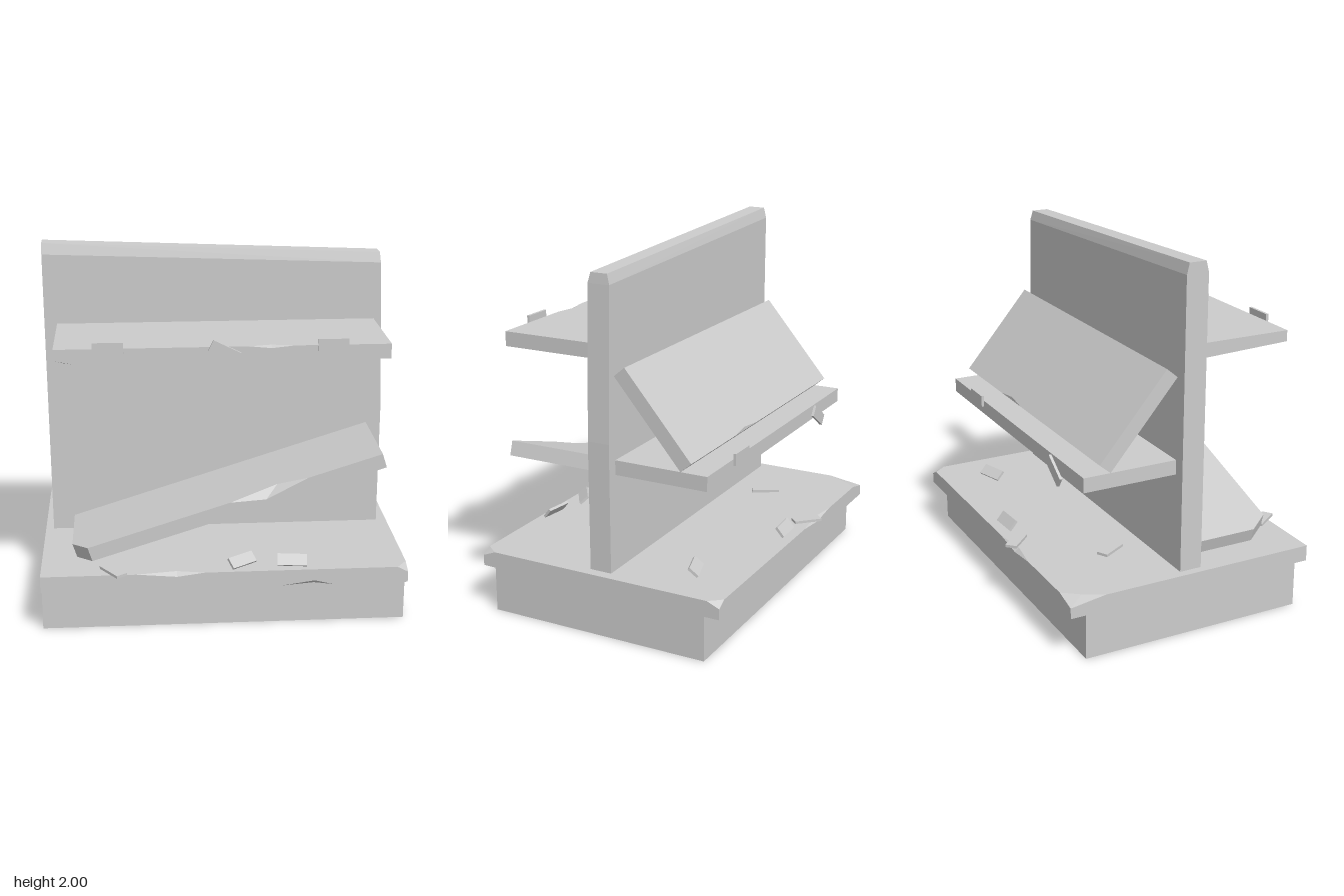
import * as THREE from 'three';
import { ConvexGeometry } from 'three/addons/geometries/ConvexGeometry.js';

const grey = new THREE.MeshStandardMaterial({ color: 0xcccccc, flatShading: true });

function add(parent, name, geometry, x = 0, y = 0, z = 0, rx = 0, ry = 0, rz = 0) {
  const mesh = new THREE.Mesh(geometry, grey);
  mesh.name = name;
  mesh.position.set(x, y, z);
  mesh.rotation.set(rx, ry, rz, 'YXZ');
  parent.add(mesh);
  return mesh;
}

// Board lofted from an outline, counter-clockwise from above, starting front left.
// A point is [x, z, inX, inZ, d]: the edge is broken there, moved by (inX, inZ)
// on the top face (d > 0) or the bottom face (d < 0), |d| deep on the side.
function brokenBoard(outline, height) {
  const h = height / 2;
  const rings = [[], [], [], []];
  for (const [x, z, inX = 0, inZ = 0, d = 0] of outline) {
    const low = d < 0, high = d > 0;
    rings[0].push([x + (low ? inX : 0), -h, z + (low ? inZ : 0)]);
    rings[1].push([x, -h + Math.max(-d, 0), z]);
    rings[2].push([x, h - Math.max(d, 0), z]);
    rings[3].push([x + (high ? inX : 0), h, z + (high ? inZ : 0)]);
  }
  const out = [];
  const n = outline.length;
  for (let r = 0; r < 3; r++) {
    for (let i = 0; i < n; i++) {
      const j = (i + 1) % n, a = rings[r], b = rings[r + 1];
      // The diagonal follows the broken point so each break stays crisp
      if (outline[i][4]) out.push(a[i], a[j], b[i], a[j], b[j], b[i]);
      else out.push(a[i], a[j], b[j], a[i], b[j], b[i]);
    }
  }
  const cap = (ring, flip) => {
    const flat = ring.map(([x, , z]) => new THREE.Vector2(x, -z));
    for (const [a, b, c] of THREE.ShapeUtils.triangulateShape(flat, [])) {
      out.push(ring[a], ring[flip ? c : b], ring[flip ? b : c]);
    }
  };
  cap(rings[0], true);
  cap(rings[3], false);
  const g = new THREE.BufferGeometry();
  g.setAttribute('position', new THREE.Float32BufferAttribute(out.flat(), 3));
  g.computeVertexNormals();
  return g;
}

// Shelf board with optional front-left corner points and front-edge break
function shelf(depth, corner, edge = []) {
  const w = 0.875, d = depth / 2;
  return brokenBoard([...(corner ?? [[-w, d]]), ...edge, [w, d], [w, -d], [-w, -d]], 0.08);
}

export function createModel() {
  const model = new THREE.Group();
  model.name = 'brokenShelfUnit';

  // Plinth and its chipped overhanging deck
  add(model, 'plinth', new THREE.BoxGeometry(1.975, 0.25, 1.275), 0, 0.125, -0.008);
  add(model, 'deck', brokenBoard([
    [-0.988, 0.705],
    [-0.48, 0.705], [-0.26, 0.705, 0, -0.03, 0.02], [-0.11, 0.705],
    [0.3, 0.705], [0.48, 0.705, 0, -0.03, -0.025], [0.58, 0.705],
    [0.93, 0.705], [0.988, 0.705, -0.028, -0.038, 0.03], [0.988, 0.63],
    [0.988, -0.66], [0.988, -0.73, -0.028, 0.035, 0.03], [0.93, -0.73],
    [-0.1, -0.73], [-0.29, -0.73, 0, 0.025, 0.02], [-0.47, -0.73],
    [-0.86, -0.73], [-0.988, -0.73, 0.06, 0.09, 0.03], [-0.988, -0.53],
  ], 0.09), 0, 0.295, 0);

  // Upright back panel with a sloping, bevelled top
  const pts = [];
  for (const [x, y, inset] of [
    [-0.943, 0.34, 0], [0.93, 0.34, 0], [0.93, 1.05, 0], [0.9, 1.87, 0],
    [-0.95, 1.94, 0], [-0.95, 2, 0.015], [0.895, 1.925, 0.015],
  ]) {
    pts.push(new THREE.Vector3(x, y, 0.055 - inset), new THREE.Vector3(x, y, -0.07 + inset));
  }
  add(model, 'backPanel', new ConvexGeometry(pts));

  // Front shelves: one level, one fallen at its right-hand end
  add(model, 'upperFrontShelf', shelf(0.53,
    [[-0.875, 0.265, 0.05, -0.03, -0.02], [-0.77, 0.265]],
    [[0.13, 0.265], [0.25, 0.265, 0, -0.025, 0.012], [0.37, 0.265]]), -0.005, 1.515, 0.32);
  add(model, 'fallenFrontShelf', shelf(0.53,
    [[-0.875, 0.145], [-0.785, 0.265]],
    [[0.02, 0.265], [0.21, 0.265, 0.08, -0.05, 0.045], [0.46, 0.265]]),
  0.025, 0.645, 0.32, 0, 0, 0.305);

  // Rear shelf, with a loose one leaning from it to the panel
  add(model, 'rearShelf', shelf(0.53), -0.005, 0.91, -0.335);
  add(model, 'leaningShelf', shelf(0.587, null,
    [[-0.37, 0.2935], [-0.24, 0.2935, 0, -0.015, 0.012], [-0.1, 0.2935]]),
  -0.005, 1.2, -0.29, 0.869, Math.PI, 0);

  // Price tags on the shelf edges: x, y, z, roll
  const tag = new THREE.BoxGeometry(0.16, 0.065, 0.015);
  for (const [x, y, z, roll] of [
    [-0.6, 1.558, 0.593, 0], [0.565, 1.558, 0.593, 0], [0, 1.53, 0.593, -0.46],
    [0.495, 0.948, -0.608, 0], [-0.55, 0.873, -0.608, 0.6],
  ]) add(model, 'shelfTag', tag, x, y, z, 0, 0, roll);

  // Tags dropped on the deck: x, y, z, pitch, yaw
  for (const [x, y, z, pitch, yaw] of [
    [-0.6, 0.35, 0.67, -Math.PI / 2, -0.96], [-0.22, 0.35, -0.69, -Math.PI / 2, -0.79],
    [-0.55, 0.35, -0.28, -Math.PI / 2, -1.05], [0.095, 0.368, 0.62, -0.85, 0.6],
    [0.365, 0.37, 0.64, -0.7, -0.13], [0, 0.37, -0.65, -0.7, Math.PI + 0.05],
    [0.7, 0.368, -0.45, -0.85, Math.PI + 0.3],
  ]) add(model, 'fallenTag', tag, x, y, z, pitch, yaw, 0);

  return model;
}
